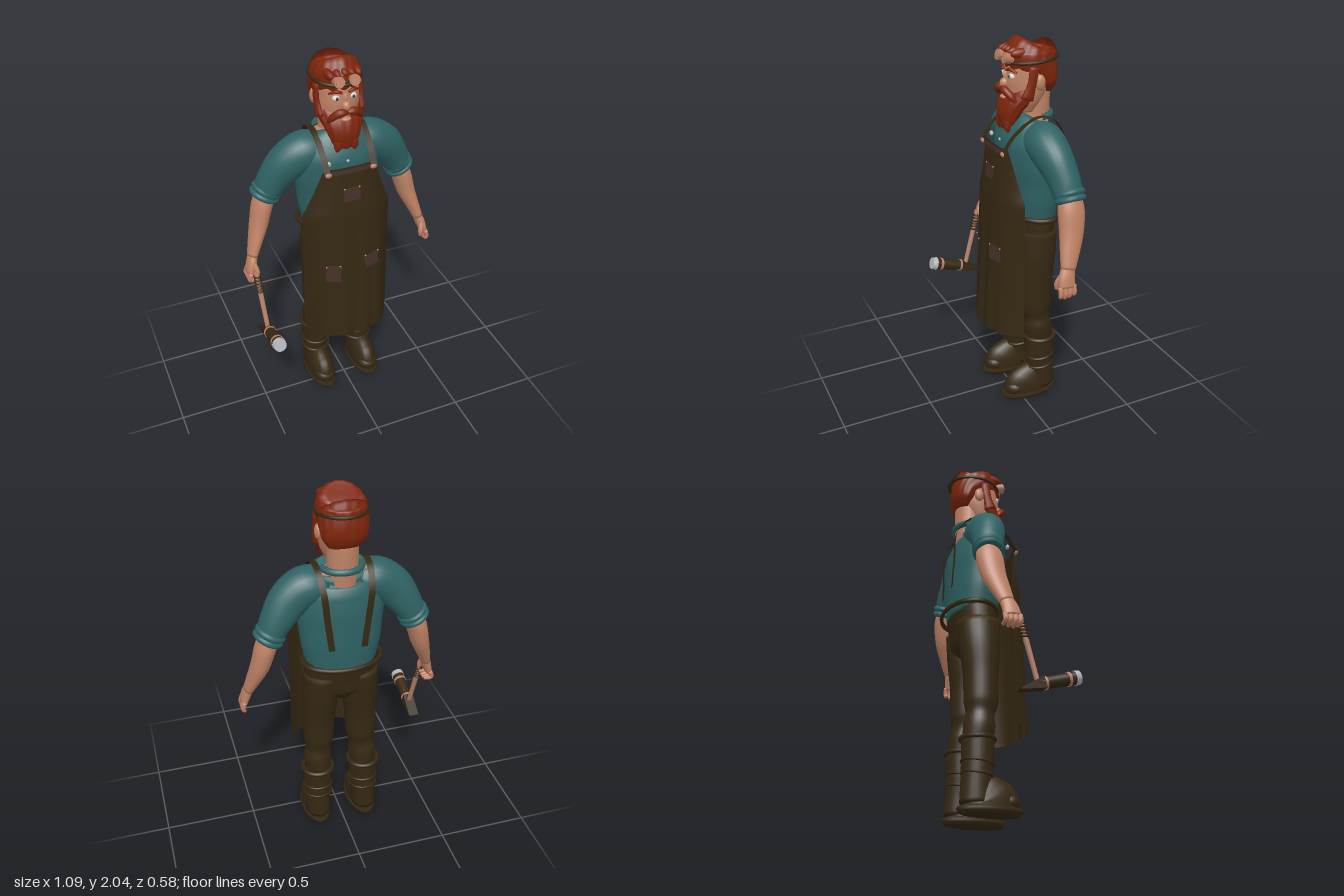
import * as THREE from 'three';

const mat = (name, color, side = THREE.FrontSide) => {
  const m = new THREE.MeshStandardMaterial({ color, side });
  m.name = name;
  return m;
};

export function createModel() {
  const model = new THREE.Group();
  model.name = 'blacksmith';
  const teal = mat('teal cloth', 0x2f6264), skin = mat('skin', 0xbf8265), hair = mat('red hair', 0x7d250b);
  const brown = mat('brown leather', 0x352813, THREE.DoubleSide);
  const pocketMat = mat('pocket leather', 0x463028, THREE.DoubleSide);
  const steel = mat('steel', 0xb4b8be), copper = mat('copper', 0xb97f68);
  const white = mat('eye white', 0xd8d4cc), dark = mat('iris', 0x2a2e30);

  const add = (name, geo, material, parent = model) => {
    const m = new THREE.Mesh(geo, material);
    m.name = name;
    parent.add(m);
    return m;
  };

  // Smooth body through rings [x, y, z, radius across, radius in depth]
  const loft = (name, rings, material, { seg = 24, steps = 5, shape = () => 1, parent = model } = {}) => {
    const path = new THREE.CatmullRomCurve3(rings.map(r => new THREE.Vector3(r[0], r[1], r[2])));
    const radii = new THREE.CatmullRomCurve3(rings.map(r => new THREE.Vector3(r[3], r[4], 0)));
    const n = (rings.length - 1) * steps, pos = [], idx = [];
    for (let i = 0; i <= n; i++) {
      const t = i / n, c = path.getPoint(t), r = radii.getPoint(t), tan = path.getTangent(t);
      const b = new THREE.Vector3(0, 0, 1).addScaledVector(tan, -tan.z).normalize();
      const a = new THREE.Vector3().crossVectors(tan, b);
      for (let j = 0; j < seg; j++) {
        const w = j / seg * Math.PI * 2, k = shape(w, t);
        const p = c.clone().addScaledVector(a, r.x * k * Math.cos(w)).addScaledVector(b, r.y * k * Math.sin(w));
        pos.push(p.x, p.y, p.z);
        if (i < n) {
          const q = i * seg + j, s = i * seg + (j + 1) % seg;
          idx.push(q, q + seg, s, s, q + seg, s + seg);
        }
      }
    }
    // End caps
    const e = pos.length / 3, f = rings[0], l = rings[rings.length - 1];
    pos.push(f[0], f[1], f[2], l[0], l[1], l[2]);
    for (let j = 0; j < seg; j++) {
      const k = (j + 1) % seg;
      idx.push(e, j, k, e + 1, n * seg + k, n * seg + j);
    }
    const g = new THREE.BufferGeometry();
    g.setAttribute('position', new THREE.Float32BufferAttribute(pos, 3));
    g.setIndex(idx);
    g.computeVertexNormals();
    return add(name, g, material, parent);
  };

  // Open sheet: fn(u, v) gives a point, u to the right and v up
  const sheet = (name, fn, nu, nv, material) => {
    const g = new THREE.PlaneGeometry(1, 1, nu, nv), p = g.attributes.position;
    for (let i = 0; i < p.count; i++) p.setXYZ(i, ...fn(p.getX(i) + 0.5, p.getY(i) + 0.5));
    g.computeVertexNormals();
    return add(name, g, material);
  };

  const ball = (name, x, y, z, rx, ry, rz, material) => {
    const g = new THREE.SphereGeometry(1, 20, 14).scale(rx, ry, rz);
    add(name, g, material).position.set(x, y, z);
  };
  const hoop = (name, x, y, z, rx, rz, tube, material, tilt = 0, arc = Math.PI * 2, start = 0) => {
    const g = new THREE.TorusGeometry(1, tube / rx, 8, 40, arc).rotateZ(start).rotateX(Math.PI / 2);
    const m = add(name, g.scale(rx, rx, rz), material);
    m.position.set(x, y, z);
    m.rotation.x = tilt;
  };

  // Shirt, neck and trousers
  loft('shirt', [[0, 1.07, -0.12, 0.185, 0.125], [0, 1.2, -0.115, 0.212, 0.136], [0, 1.3, -0.11, 0.222, 0.14],
    [0, 1.4, -0.1, 0.232, 0.148], [0, 1.5, -0.09, 0.225, 0.145], [0, 1.58, -0.1, 0.185, 0.115],
    [0, 1.62, -0.12, 0.13, 0.09]], teal, { seg: 36 });
  ball('neckline', 0, 1.61, -0.105, 0.15, 0.025, 0.09, skin);
  loft('neck', [[0, 1.54, -0.13, 0.085, 0.08], [0, 1.64, -0.14, 0.08, 0.078], [0, 1.78, -0.14, 0.08, 0.08]], skin);
  hoop('collar', 0, 1.635, -0.13, 0.1, 0.09, 0.018, teal, 0, Math.PI, Math.PI);
  hoop('front neckband', 0, 1.582, -0.06, 0.1, 0.085, 0.012, teal, 0, Math.PI, 0);
  loft('trouser seat', [[0, 0.86, -0.11, 0.05, 0.07], [0, 0.92, -0.11, 0.16, 0.11], [0, 1.0, -0.11, 0.2, 0.118],
    [0, 1.11, -0.115, 0.195, 0.13]], brown);
  hoop('belt', 0, 1.1, -0.132, 0.21, 0.142, 0.014, brown);

  for (const s of [-1, 1]) {
    const side = s > 0 ? 'left' : 'right';
    // Legs and boots
    loft(side + 'TrouserLeg', [[s * 0.13, 0.36, -0.12, 0.07, 0.075], [s * 0.13, 0.44, -0.11, 0.078, 0.08],
      [s * 0.125, 0.5, -0.105, 0.07, 0.073], [s * 0.122, 0.57, -0.1, 0.084, 0.088],
      [s * 0.118, 0.72, -0.1, 0.088, 0.092], [s * 0.11, 0.88, -0.105, 0.1, 0.108],
      [s * 0.105, 1.02, -0.11, 0.095, 0.115]], brown);
    loft(side + 'BootShaft', [[s * 0.137, 0.05, -0.125, 0.068, 0.082], [s * 0.137, 0.14, -0.125, 0.07, 0.078],
      [s * 0.134, 0.25, -0.12, 0.077, 0.08], [s * 0.134, 0.37, -0.118, 0.08, 0.084]], brown);
    [[0.37, 0.083, 0.013], [0.25, 0.078, 0.008], [0.19, 0.076, 0.008]].forEach(([y, r, t], i) =>
      hoop(side + 'BootStrap' + i, s * 0.134, y, -0.12, r, r, t, brown, i ? 0.12 : 0));
    loft(side + 'BootFoot', [[s * 0.137, 0.02, -0.055, 0.07, 0.15], [s * 0.137, 0.06, -0.057, 0.072, 0.148],
      [s * 0.137, 0.1, -0.08, 0.066, 0.122], [s * 0.137, 0.15, -0.12, 0.05, 0.075]], brown);
    ball(side + 'ToeCap', s * 0.137, 0.065, 0.035, 0.062, 0.047, 0.06, brown);
    loft(side + 'Sole', [[s * 0.137, 0, -0.055, 0.066, 0.15], [s * 0.137, 0.012, -0.055, 0.074, 0.16],
      [s * 0.137, 0.035, -0.055, 0.074, 0.16]], brown, { steps: 2 });

    // Sleeves, cuffs, forearms and hands
    loft(side + 'Sleeve', [[s * 0.08, 1.53, -0.105, 0.08, 0.09], [s * 0.18, 1.53, -0.105, 0.105, 0.105],
      [s * 0.265, 1.475, -0.115, 0.105, 0.095], [s * 0.335, 1.385, -0.135, 0.087, 0.083],
      [s * 0.39, 1.285, -0.148, 0.066, 0.074]], teal);
    [[0.374, 1.318], [0.388, 1.29]].forEach(([x, y], i) => {
      const g = new THREE.TorusGeometry(0.066, 0.017, 10, 32).rotateX(Math.PI / 2);
      const m = add(side + 'Cuff' + i, g, teal);
      m.position.set(s * x, y, -0.148);
      m.rotation.z = s * 0.5;
    });
    loft(side + 'Forearm', [[s * 0.375, 1.31, -0.148, 0.05, 0.062], [s * 0.405, 1.23, -0.146, 0.054, 0.072],
      [s * 0.432, 1.13, -0.135, 0.049, 0.066], [s * 0.468, 1.03, -0.108, 0.036, 0.052],
      [s * 0.493, 0.96, -0.088, 0.027, 0.04]], skin);
    loft(side + 'Palm', [[s * 0.49, 0.97, -0.09, 0.026, 0.038], [s * 0.506, 0.92, -0.075, 0.026, 0.045],
      [s * 0.52, 0.875, -0.07, 0.02, 0.046]], skin, { seg: 16 });
    const curl = s > 0 ? 0 : 0.035;
    for (let f = 0; f < 4; f++) {
      const z = -0.107 + f * 0.025, low = 0.815 + Math.abs(f - 1.6) * 0.008;
      loft(side + 'Finger' + f, [[s * 0.52, 0.885, z, 0.013, 0.014], [s * 0.53, 0.845, z, 0.013, 0.013],
        [s * (0.522 - curl), low + curl * 0.4, z, 0.009, 0.01]], skin, { seg: 10, steps: 4 });
    }
    loft(side + 'Thumb', [[s * 0.498, 0.935, -0.048, 0.014, 0.014], [s * 0.488, 0.895, -0.03, 0.014, 0.015],
      [s * 0.486, 0.86, -0.028, 0.008, 0.009]], skin, { seg: 10 });

    // Apron straps over the shoulders
    const strap = new THREE.CatmullRomCurve3([[0.125, 1.48, 0.098], [0.13, 1.57, 0.035], [0.132, 1.645, -0.08],
      [0.132, 1.635, -0.17], [0.122, 1.54, -0.243], [0.105, 1.38, -0.25], [0.085, 1.22, -0.255]]
      .map(p => new THREE.Vector3(...p)));
    sheet(side + 'ApronStrap', (u, v) => {
      const p = strap.getPoint(v);
      return [s * p.x + (u - 0.5) * 0.034, p.y, p.z];
    }, 1, 40, brown);
    ball(side + 'StrapRivet', s * 0.122, 1.478, 0.1, 0.018, 0.013, 0.008, copper);

    // Face details in pairs
    ball(side + 'Ear', s * 0.115, 1.82, -0.115, 0.018, 0.04, 0.026, skin);
    ball(side + 'Eye', s * 0.043, 1.848, 0.007, 0.021, 0.016, 0.018, white);
    ball(side + 'Iris', s * 0.043, 1.848, 0.02, 0.009, 0.009, 0.007, dark);
    loft(side + 'Eyebrow', [[s * 0.018, 1.877, 0.025, 0.006, 0.008], [s * 0.045, 1.886, 0.02, 0.009, 0.01],
      [s * 0.078, 1.872, -0.002, 0.004, 0.006]], hair, { seg: 10 });
    loft(side + 'Sideburn', [[s * 0.115, 1.9, -0.08, 0.014, 0.026], [s * 0.116, 1.82, -0.068, 0.014, 0.024],
      [s * 0.108, 1.74, -0.045, 0.02, 0.036]], hair, { seg: 12 });
    loft(side + 'Moustache', [[0, 1.782, 0.045, 0.012, 0.014], [s * 0.035, 1.782, 0.046, 0.021, 0.02],
      [s * 0.07, 1.755, 0.025, 0.018, 0.02], [s * 0.09, 1.725, 0.008, 0.005, 0.007]], hair, { seg: 12 });

    // Goggles pushed up on the forehead
    const g = new THREE.CylinderGeometry(0.028, 0.025, 0.045, 20).rotateX(Math.PI / 2 - 0.25);
    add(side + 'GoggleCup', g, copper).position.set(s * 0.04, 1.94, 0.028);
    const lens = new THREE.CylinderGeometry(0.02, 0.02, 0.008, 20).rotateX(Math.PI / 2 - 0.25);
    add(side + 'GoggleLens', lens, skin).position.set(s * 0.04, 1.946, 0.05);
  }
  ball('goggle bridge', 0, 1.938, 0.035, 0.02, 0.008, 0.008, brown);

  // Head, nose, hair and beard
  loft('head', [[0, 1.66, -0.07, 0.07, 0.07], [0, 1.72, -0.075, 0.098, 0.095], [0, 1.8, -0.09, 0.112, 0.118],
    [0, 1.88, -0.1, 0.113, 0.12], [0, 1.95, -0.11, 0.095, 0.1]], skin);
  ball('nose', 0, 1.808, 0.028, 0.023, 0.027, 0.026, skin);
  ball('nose bridge', 0, 1.84, 0.016, 0.012, 0.035, 0.02, skin);
  ball('lower lip', 0, 1.738, 0.028, 0.028, 0.012, 0.022, skin);
  const locks = (w, t) => 1 + 0.018 * Math.cos(14 * w + 5 * t);
  loft('hair', [[0, 1.76, -0.185, 0.08, 0.035], [0, 1.81, -0.18, 0.113, 0.066], [0, 1.86, -0.165, 0.121, 0.085],
    [0, 1.9, -0.138, 0.124, 0.112], [0, 1.93, -0.112, 0.125, 0.137], [0, 1.96, -0.112, 0.12, 0.132],
    [0, 1.985, -0.115, 0.107, 0.105], [0, 1.994, -0.12, 0.07, 0.065]], hair, { seg: 56, shape: locks });
  for (let i = -2; i <= 2; i++) {
    ball('forelock' + (i + 3), i * 0.036, 1.972 - Math.abs(i) * 0.003, -0.035, 0.024, 0.027, 0.065, hair);
  }
  hoop('goggle strap', 0, 1.925, -0.115, 0.126, 0.14, 0.009, brown, 0.07);
  loft('beard', [[0, 1.585, 0.03, 0.045, 0.022], [0, 1.61, 0.022, 0.068, 0.036], [0, 1.65, 0.01, 0.083, 0.054],
    [0, 1.7, -0.01, 0.1, 0.06], [0, 1.745, -0.045, 0.116, 0.062], [0, 1.79, -0.065, 0.117, 0.04]],
  hair, { seg: 48, shape: (w, t) => 1 + 0.03 * Math.cos(12 * w + 4 * t) });
  [-0.045, 0, 0.045].forEach((x, i) => loft('beardTuft' + i, [[x * 0.9, 1.62, 0.03, 0.026, 0.025],
    [x, 1.585, 0.034, 0.02, 0.018], [x * 1.1, 1.562 + (i === 1 ? 0.012 : 0), 0.03, 0.005, 0.006]], hair, { seg: 12 }));

  // Apron: arched across, narrowing into a bib
  const lerp = THREE.MathUtils.lerp;
  const bib = y => THREE.MathUtils.clamp((y - 1.23) / 0.27, 0, 1);
  const halfWidth = y => lerp(0.245, 0.137, Math.pow(bib(y), 0.85));
  const apronZ = (x, y) => {
    const k = bib(y), low = THREE.MathUtils.clamp((1.23 - y) / 0.78, 0, 1), s = Math.abs(x) / halfWidth(y);
    const front = lerp(lerp(0.125, 0.168, low), 0.092, k), edge = lerp(0.03, 0.075, k);
    return edge + (front - edge) * (1 - Math.pow(s, 3.2)) - 0.008 * low * Math.cos(x * 55) * (1 - s * s);
  };
  sheet('apron', (u, v) => {
    const y = 0.45 + v * 1.05, x = (u * 2 - 1) * halfWidth(y);
    return [x, y, apronZ(x, y)];
  }, 40, 48, brown);
  const patch = (name, cx, cy, w, h, tilt, material) => sheet(name, (u, v) => {
    const a = (u - 0.5) * w, b = (v - 0.5) * h;
    const x = cx + a * Math.cos(tilt) - b * Math.sin(tilt), y = cy + a * Math.sin(tilt) + b * Math.cos(tilt);
    return [x, y, apronZ(x, y) + 0.007];
  }, 8, 6, material);
  patch('bib trim', 0, 1.482, 0.25, 0.024, 0, pocketMat);
  [[0, 1.352, 0.09, 0.075, 0], [0.105, 0.925, 0.09, 0.085, 0.05], [-0.115, 0.883, 0.078, 0.105, -0.08]]
    .forEach(([x, y, w, h, t], i) => {
      patch('pocket' + i, x, y, w, h, t, pocketMat);
      for (const s of [-1, 1]) {
        const px = x + s * w * 0.45, py = y + h * 0.45;
        ball('pocketRivet' + i, px, py, apronZ(px, py) + 0.008, 0.005, 0.005, 0.004, copper);
      }
    });
  ball('brooch', -0.105, 1.515, 0.055, 0.014, 0.014, 0.01, steel);
  ball('shirt button', 0, 1.515, 0.057, 0.008, 0.008, 0.006, steel);

  // Hammer in the right hand: local y is the handle, local z the head
  const hammer = new THREE.Group();
  hammer.name = 'hammer';
  hammer.position.set(-0.478, 0.557, 0.07);
  hammer.rotation.set(-0.28, 0, 0.05);
  model.add(hammer);
  const rod = (name, r0, r1, len, z, material) =>
    add(name, new THREE.CylinderGeometry(r1, r0, len, 24).rotateX(Math.PI / 2), material, hammer).position.z = z;
  add('hammer handle', new THREE.CylinderGeometry(0.015, 0.012, 0.37, 14), copper, hammer).position.y = 0.165;
  for (let i = 0; i < 6; i++) {
    const g = new THREE.TorusGeometry(0.015, 0.006, 8, 16).rotateX(Math.PI / 2 + 0.25);
    add('gripWrap' + i, g, brown, hammer).position.y = 0.24 + i * 0.017;
  }
  rod('hammer barrel', 0.03, 0.032, 0.15, 0.09, brown);
  rod('barrel collar', 0.034, 0.034, 0.012, 0.035, copper);
  rod('face collar', 0.036, 0.036, 0.014, 0.162, copper);
  rod('hammer neck', 0.034, 0.034, 0.03, 0.18, brown);
  rod('hammer face', 0.038, 0.034, 0.028, 0.207, steel);
  const wedge = new THREE.BoxGeometry(0.058, 0.06, 0.13), wp = wedge.attributes.position;
  for (let i = 0; i < wp.count; i++) if (wp.getZ(i) < 0) wp.setY(i, wp.getY(i) * 0.15 - 0.012);
  wedge.computeVertexNormals();
  add('hammer wedge', wedge, brown, hammer).position.z = -0.035;

  return model;
}
